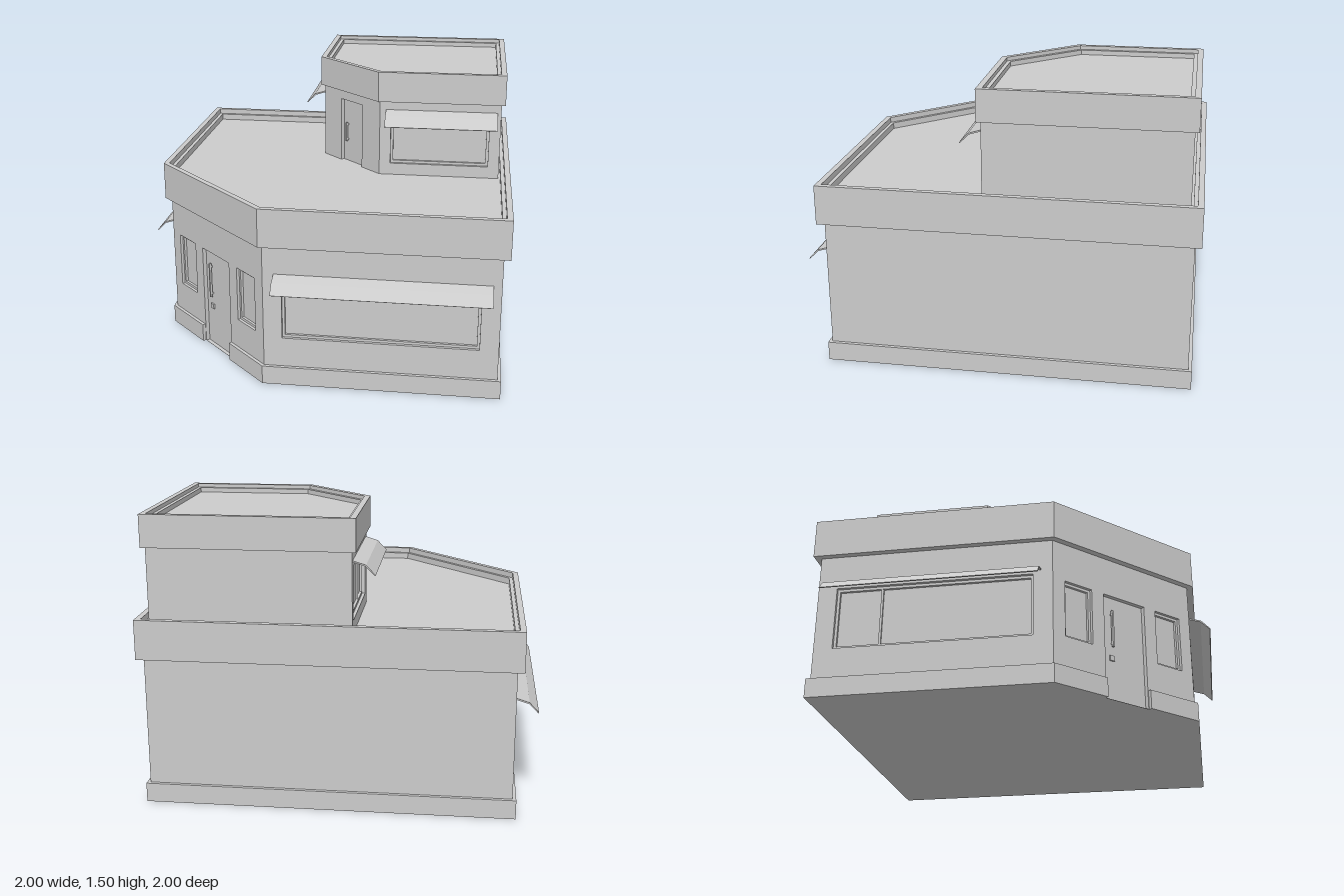
import * as THREE from 'three';

const mat = new THREE.MeshStandardMaterial({ color: 0xcccccc, flatShading: true, side: THREE.DoubleSide });
const DEPTH = 0.03; // recess of windows and doors

function add(parent, name, geo, x = 0, y = 0, z = 0) {
  const m = new THREE.Mesh(geo, mat);
  m.name = name;
  m.position.set(x, y, z);
  parent.add(m);
  return m;
}

// Square plan with its front-left corner cut off, inset by d; points are [x, z]
function plan({ a, b, c }, d = 0) {
  const A = a - d, B = b - d, C = c - d * (Math.SQRT2 - 1);
  return [[-A, -B], [B, -B], [B, A], [-C, A], [-A, C]];
}
const toShape = (pts) => new THREE.Shape(pts.map(([x, z]) => new THREE.Vector2(x, -z)));

// Vertical prism over a plan, optionally hollow
function prism(parent, name, pts, y0, y1, hole) {
  const s = toShape(pts);
  if (hole) s.holes.push(toShape(hole));
  const g = new THREE.ExtrudeGeometry(s, { depth: y1 - y0, bevelEnabled: false });
  g.rotateX(-Math.PI / 2);
  return add(parent, name, g, 0, y0, 0);
}

function rect(x0, x1, y0, y1, Type = THREE.Shape) {
  const s = new Type();
  s.moveTo(x0, y0);
  s.lineTo(x1, y0);
  s.lineTo(x1, y1);
  s.lineTo(x0, y1);
  s.closePath();
  return s;
}

// Flat panel with rectangular openings, its outer face at local z = 0
function panel(parent, name, outer, holes, depth, z = 0) {
  const s = rect(...outer);
  holes.forEach((h) => s.holes.push(rect(...h, THREE.Path)));
  const g = new THREE.ExtrudeGeometry(s, { depth, bevelEnabled: false });
  return add(parent, name, g, 0, 0, z - depth);
}

// Wall between two plan points; local x runs to the right seen from outside, local z points out
function wall(parent, name, p, q, y0, y1, holes = []) {
  const g = new THREE.Group();
  g.name = name;
  const dx = q[0] - p[0], dz = q[1] - p[1], L = Math.hypot(dx, dz);
  g.position.set((p[0] + q[0]) / 2, 0, (p[1] + q[1]) / 2);
  g.rotation.y = Math.atan2(-dz, dx);
  parent.add(g);
  panel(g, name + 'Panel', [-L / 2, L / 2, y0, y1], holes, DEPTH);
  return g;
}

function windowFrame(g, [x0, x1, y0, y1]) {
  const t = 0.014;
  panel(g, 'windowFrame', [x0, x1, y0, y1], [[x0 + t, x1 - t, y0 + t, y1 - t]], 0.014, -0.016);
}

// Thin bent awning sheet hung on a wall
function awning(g, width, yTop, x = 0) {
  const pts = [[0, 0], [0.065, -0.02], [0.112, -0.07], [0.108, -0.073], [0.062, -0.027], [0, -0.008]];
  const s = new THREE.Shape(pts.map(([z, y]) => new THREE.Vector2(z, y)));
  const geo = new THREE.ExtrudeGeometry(s, { depth: width, bevelEnabled: false });
  geo.rotateY(-Math.PI / 2);
  add(g, 'awning', geo, x + width / 2, yTop, 0);
}

function door(g, w, y0, y1, hx, hy, hLen) {
  add(g, 'doorLeaf', new THREE.BoxGeometry(w, y1 - y0, 0.01), 0, (y0 + y1) / 2, -DEPTH + 0.003);
  add(g, 'doorHandle', new THREE.BoxGeometry(0.01, hLen, 0.012), hx, hy, -0.008);
  for (const s of [-1, 1])
    add(g, 'handleMount', new THREE.BoxGeometry(0.008, 0.008, 0.02), hx, hy + s * hLen * 0.4, -0.018);
}

// Stepped parapet with a sunken roof deck
function parapet(parent, name, f, out, y0, y1, step, deck) {
  prism(parent, name + 'Parapet', plan(f, -out), y0, step, plan(f, 0.05 - out));
  prism(parent, name + 'ParapetRim', plan(f, -out), step, y1, plan(f, 0.03 - out));
  prism(parent, name + 'RoofDeck', plan(f, 0.04 - out), y0 + 0.01, deck);
}

// One storey: core, five walls, doors, windows, awnings and roof
function storey(parent, name, f, o) {
  const g = new THREE.Group();
  g.name = name;
  parent.add(g);
  const P = plan(f);
  prism(g, 'core', plan(f, DEPTH), o.y0, o.y1);
  wall(g, 'backWall', P[1], P[0], o.y0, o.y1);
  wall(g, 'plainSideWall', P[2], P[1], o.y0, o.y1);

  const [w, v0, v1] = o.window;
  const big = [-w / 2, w / 2, v0, v1];
  const front = wall(g, 'frontWall', P[3], P[2], o.y0, o.y1, [big]);
  const side = wall(g, 'windowSideWall', P[0], P[4], o.y0, o.y1, [big]);
  [[front, 1], [side, -1]].forEach(([wg, s]) => {
    windowFrame(wg, big);
    awning(wg, o.awning[0], o.awning[1], s * 0.008);
  });
  add(side, 'mullion', new THREE.BoxGeometry(0.012, v1 - v0, 0.01), o.mullion, (v0 + v1) / 2, -0.025);

  const holes = [[-o.door / 2, o.door / 2, o.y0 + 0.001, o.doorTop], ...o.small];
  const corner = wall(g, 'cornerWall', P[4], P[3], o.y0, o.y1, holes);
  o.small.forEach((h) => windowFrame(corner, h));
  door(corner, o.door, o.y0, o.doorTop, ...o.handle);
  parapet(g, name, f, ...o.roof);
  return corner;
}

export function createModel() {
  const model = new THREE.Group();
  model.name = 'cornerShop';

  const lower = { a: 0.885, b: 0.965, c: 0.24 };
  const upper = { a: 0.08, b: 0.937, c: -0.275 };

  const entry = storey(model, 'groundFloor', lower, {
    y0: 0, y1: 0.775, window: [1.01, 0.26, 0.59], awning: [1.105, 0.617], mullion: -0.27,
    door: 0.27, doorTop: 0.565, handle: [-0.075, 0.39, 0.2],
    small: [[-0.382, -0.212, 0.265, 0.565], [0.212, 0.382, 0.265, 0.565]],
    roof: [0.033, 0.77, 0.975, 0.945, 0.91],
  });
  add(entry, 'doorLock', new THREE.BoxGeometry(0.028, 0.028, 0.012), -0.078, 0.23, -0.02);

  storey(model, 'upperFloor', upper, {
    y0: 0.9, y1: 1.335, window: [0.54, 0.975, 1.25], awning: [0.61, 1.283], mullion: 0.1,
    door: 0.19, doorTop: 1.275, handle: [-0.055, 1.085, 0.11], small: [],
    roof: [0.02, 1.33, 1.495, 1.475, 1.45],
  });

  // Plinth with a gap in front of the entrance
  const base = plan(lower, -0.018);
  const mid = (base[3][0] + base[4][0]) / 2, midZ = (base[3][1] + base[4][1]) / 2;
  const n = 0.034, h = 0.098; // notch depth and half width along each axis
  base.splice(4, 0,
    [mid + h, midZ + h], [mid + h + n, midZ + h - n],
    [mid - h + n, midZ - h - n], [mid - h, midZ - h]);
  prism(model, 'plinth', base, 0, 0.1);

  return model;
}
